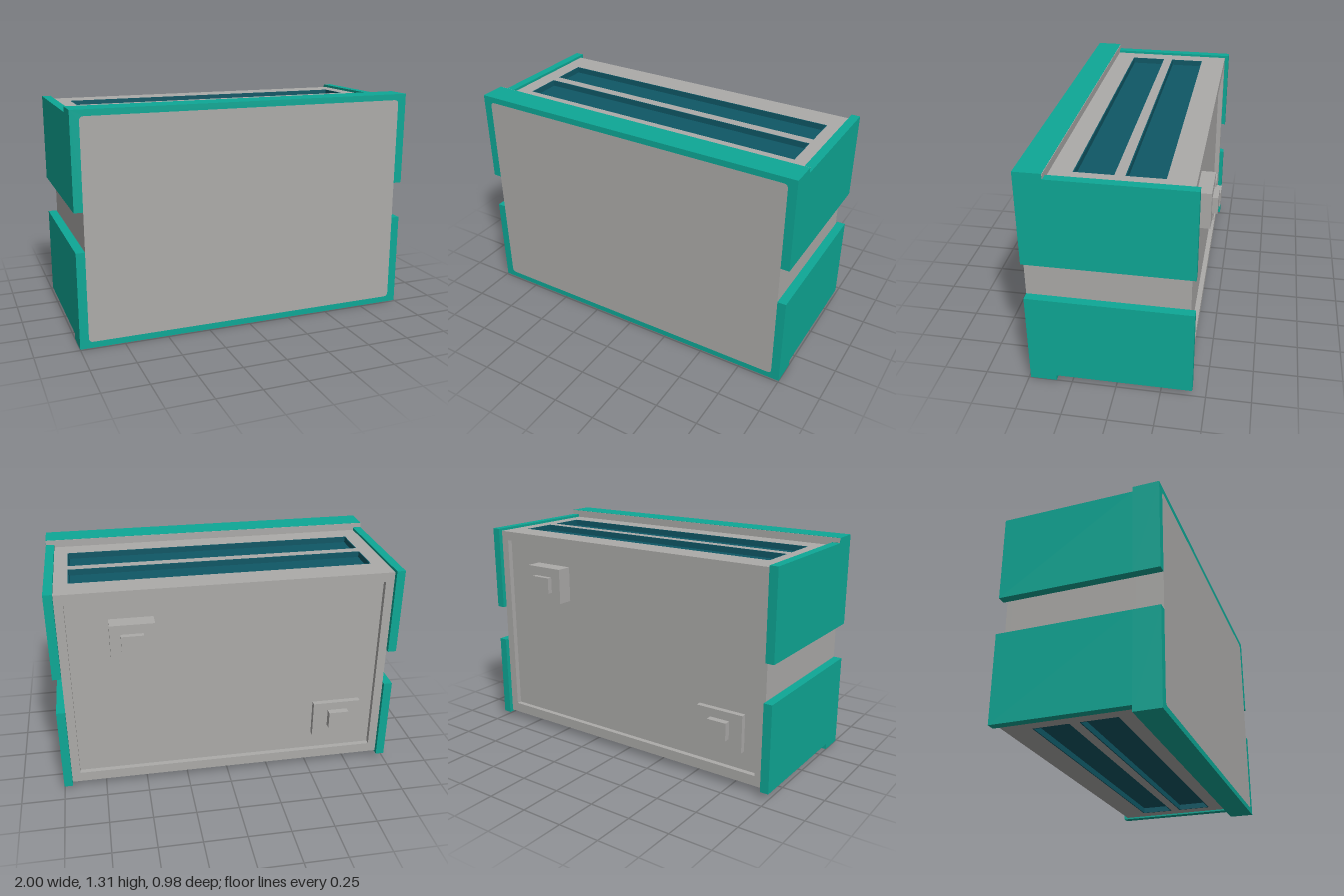
import * as THREE from 'three';

const teal = new THREE.MeshStandardMaterial({ color: 0x0ea896 });
teal.name = 'teal shell';
const gray = new THREE.MeshStandardMaterial({ color: 0xacaba9 });
gray.name = 'gray casing';
const dark = new THREE.MeshStandardMaterial({ color: 0x0f5866 });
dark.name = 'dark teal slots';

export function createModel() {
  const model = new THREE.Group();

  const add = (name, geometry, material) => {
    const mesh = new THREE.Mesh(geometry, material);
    mesh.name = name;
    model.add(mesh);
    return mesh;
  };
  // Box given by its minimum and maximum along each axis
  const box = (name, x0, x1, y0, y1, z0, z1, material) => {
    const g = new THREE.BoxGeometry(x1 - x0, y1 - y0, z1 - z0);
    g.translate((x0 + x1) / 2, (y0 + y1) / 2, (z0 + z1) / 2);
    return add(name, g, material);
  };
  const rect = (x0, x1, y0, y1, Type = THREE.Shape) => {
    const s = new Type();
    s.moveTo(x0, y0);
    s.lineTo(x1, y0);
    s.lineTo(x1, y1);
    s.lineTo(x0, y1);
    s.closePath();
    return s;
  };
  const extrude = (shape, depth) =>
    new THREE.ExtrudeGeometry(shape, { depth, bevelEnabled: false, curveSegments: 4 });

  const W = 0.95, H = 1.31, r = 0.025;
  const bottom = 0.045, top = 1.265, skin = 0.04;

  // Central casing
  box('casingCore', -W, W, bottom + skin, top - skin, -0.37, 0.34, gray);

  // Raised rim around the back panel
  const rim = rect(-W, W, bottom + skin, top - skin);
  rim.holes.push(rect(-0.9, 0.9, 0.105, 1.21, THREE.Path));
  add('backRim', extrude(rim, 0.03), gray).position.z = -0.4;

  // Top and bottom plates, each with two long slots lined in dark teal
  const slots = [[-0.25, -0.045], [0.01, 0.22]];
  const sx0 = -0.86, sx1 = 0.87, t = 0.006;
  const plate = rect(-W, W, -0.34, 0.4);
  for (const [z0, z1] of slots) plate.holes.push(rect(sx0, sx1, -z1, -z0, THREE.Path));
  for (const [side, y] of [['top', top - skin], ['bottom', bottom]]) {
    const g = extrude(plate, skin);
    g.rotateX(-Math.PI / 2);
    add(side + 'Plate', g, gray).position.y = y;
    for (const [z0, z1] of slots) {
      const lining = rect(sx0, sx1, -z1, -z0);
      lining.holes.push(rect(sx0 + t, sx1 - t, -z1 + t, -z0 - t, THREE.Path));
      const l = extrude(lining, skin);
      l.rotateX(-Math.PI / 2);
      add(side + 'SlotLining', l, dark).position.y = y;
      const f = side === 'top' ? y : y + skin - t;
      box(side + 'SlotFloor', sx0, sx1, f, f + t, z0, z1, dark);
    }
  }

  // Front panel with rounded corners
  const y0 = 0.035, y1 = 1.275;
  const front = new THREE.Shape();
  front.moveTo(-W + r, y0);
  front.lineTo(W - r, y0);
  front.quadraticCurveTo(W, y0, W, y0 + r);
  front.lineTo(W, y1 - r);
  front.quadraticCurveTo(W, y1, W - r, y1);
  front.lineTo(-W + r, y1);
  front.quadraticCurveTo(-W, y1, -W, y1 - r);
  front.lineTo(-W, y0 + r);
  front.quadraticCurveTo(-W, y0, -W + r, y0);
  add('frontPanel', extrude(front, 0.15), gray).position.z = 0.34;

  // Upper and lower halves of the front frame, open at the side gaps
  const halfFrame = (outer, inner, gap) => {
    const d = Math.sign(gap - inner) * r;
    const s = new THREE.Shape();
    s.moveTo(-1, gap);
    s.lineTo(-1, outer);
    s.lineTo(1, outer);
    s.lineTo(1, gap);
    s.lineTo(W, gap);
    s.lineTo(W, inner + d);
    s.quadraticCurveTo(W, inner, W - r, inner);
    s.lineTo(-W + r, inner);
    s.quadraticCurveTo(-W, inner, -W, inner + d);
    s.lineTo(-W, gap);
    s.closePath();
    return extrude(s, 0.15);
  };
  add('upperFrontFrame', halfFrame(H, y1, 0.77), teal).position.z = 0.34;
  add('lowerFrontFrame', halfFrame(0, y0, 0.55), teal).position.z = 0.34;

  // Gray lining behind the upper lip
  box('upperLipLining', -0.999, 0.999, 1.282, H - 0.001, 0.337, 0.34, gray);
  box('upperLipLiningInner', -W, W, top, 1.282, 0.337, 0.34, gray);

  // Side panels, two on each side
  for (const s of [-1, 1]) {
    const xa = s < 0 ? -1 : W, xb = s < 0 ? -W : 1;
    box('upperSidePanel', xa, xb, 0.77, 1.28, -0.425, 0.34, teal);
    box('lowerSidePanel', xa, xb, 0.035, 0.55, -0.425, 0.34, teal);
  }

  // Connectors on the back
  box('upperConnector', 0.42, 0.67, 0.88, 1.09, -0.46, -0.37, gray);
  box('upperConnectorTip', 0.485, 0.61, 0.94, 1.035, -0.49, -0.46, gray);
  box('lowerConnector', -0.815, -0.525, 0.215, 0.435, -0.402, -0.37, gray);
  box('lowerConnectorTip', -0.735, -0.615, 0.28, 0.385, -0.44, -0.402, gray);

  return model;
}
